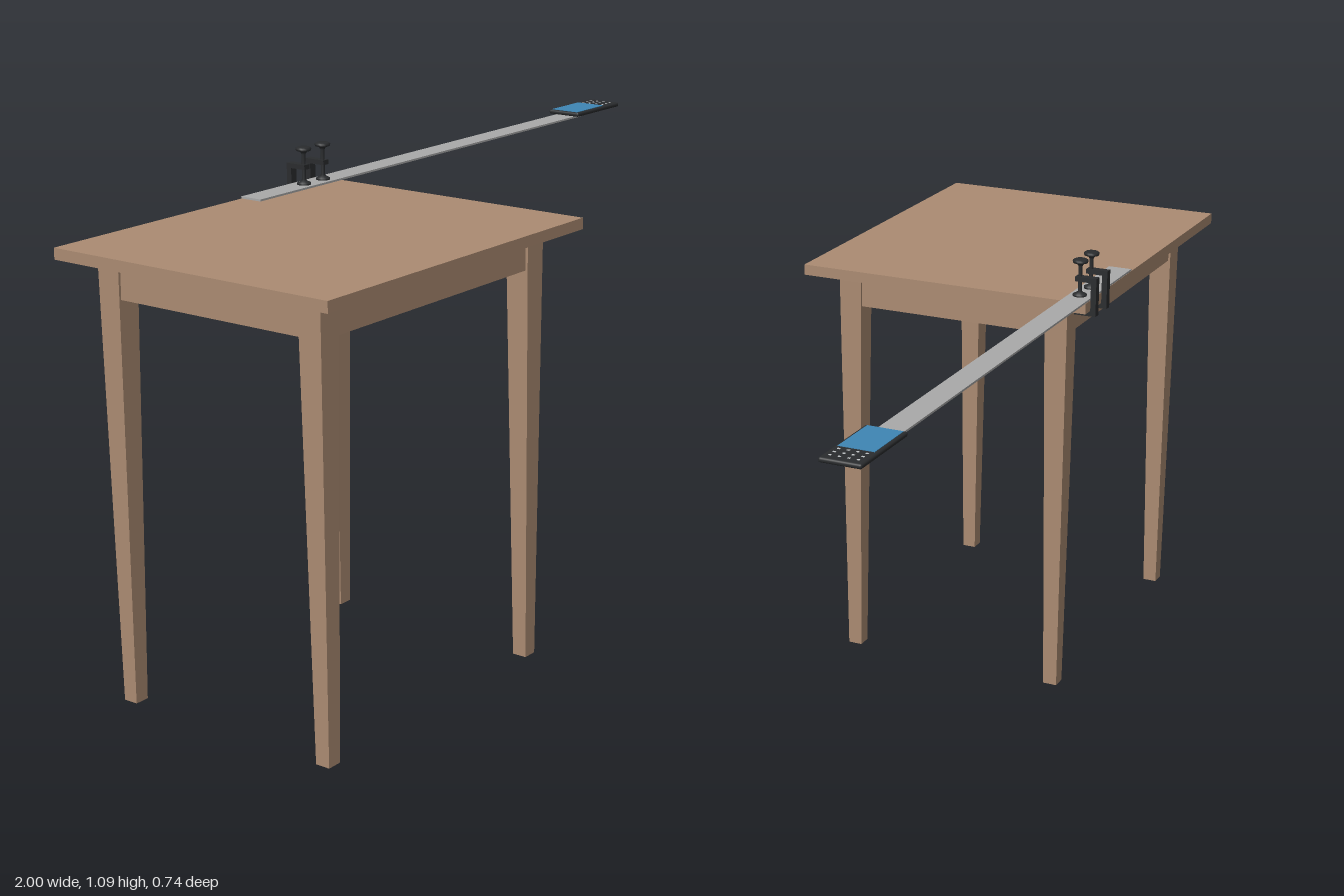
import * as THREE from 'three';
import { RoundedBoxGeometry } from 'three/addons/geometries/RoundedBoxGeometry.js';

const mat = (name, color) => Object.assign(new THREE.MeshStandardMaterial({ color }), { name });

export function createModel() {
  const wood = mat('wood', 0xab8b72);
  const steel = mat('steel', 0xa9a9a9);
  const black = mat('black metal', 0x2a2c2e);
  const blue = mat('blue screen', 0x3f86b4);
  const white = mat('key white', 0xc4c8ca);

  const root = new THREE.Group();
  root.name = 'tableWithRuler';

  const add = (parent, name, geometry, material, x = 0, y = 0, z = 0) => {
    const mesh = new THREE.Mesh(geometry, material);
    mesh.name = name;
    mesh.position.set(x, y, z);
    parent.add(mesh);
    return mesh;
  };
  // Box given by its limits on each axis
  const box = (parent, name, material, x0, x1, y0, y1, z0, z1) =>
    add(parent, name, new THREE.BoxGeometry(x1 - x0, y1 - y0, z1 - z0), material,
      (x0 + x1) / 2, (y0 + y1) / 2, (z0 + z1) / 2);

  // Table
  const table = new THREE.Group();
  table.name = 'table';
  root.add(table);
  box(table, 'tableTop', wood, -1, -0.145, 0.975, 1, -0.35, 0.367);

  // Frame is centred under the top; legs taper mostly on their inner faces
  const cx = -0.572, cz = 0.009, hx = 0.372, hz = 0.293;
  const legGeometry = (sx, sz) => {
    const g = new THREE.BoxGeometry(0.057, 0.975, 0.057);
    const p = g.attributes.position;
    for (let i = 0; i < p.count; i++) {
      if (p.getY(i) > 0) continue;
      p.setX(i, p.getX(i) * 0.6 + sx * 0.002);
      p.setZ(i, p.getZ(i) * 0.6 + sz * 0.002);
    }
    g.computeVertexNormals();
    return g;
  };
  for (const sx of [-1, 1]) {
    for (const sz of [-1, 1]) {
      add(table, 'leg', legGeometry(sx, sz), wood,
        cx + sx * (hx - 0.0285), 0.4875, cz + sz * (hz - 0.0285));
    }
  }

  // Aprons between the legs
  const inset = 0.006, thick = 0.022;
  for (const s of [-1, 1]) {
    const z = cz + s * (hz - inset - thick / 2);
    box(table, 'longApron', wood, cx - hx + 0.04, cx + hx - 0.04, 0.896, 0.975, z - thick / 2, z + thick / 2);
    const x = cx + s * (hx - inset - thick / 2);
    box(table, 'shortApron', wood, x - thick / 2, x + thick / 2, 0.896, 0.975, cz - hz + 0.04, cz + hz - 0.04);
  }

  // Curved corner braces inside the aprons
  const braceShape = new THREE.Shape();
  braceShape.moveTo(0, 0);
  braceShape.lineTo(0.13, 0);
  braceShape.lineTo(0.13, 0.006);
  braceShape.quadraticCurveTo(0.03, 0.03, 0.006, 0.13);
  braceShape.lineTo(0, 0.13);
  const braceGeometry = new THREE.ExtrudeGeometry(braceShape, { depth: 0.045, bevelEnabled: false, curveSegments: 10 });
  braceGeometry.rotateX(Math.PI / 2);
  const bx = hx - inset - thick, bz = hz - inset - thick;
  [[-1, -1, 0], [-1, 1, 1], [1, 1, 2], [1, -1, 3]].forEach(([sx, sz, turn]) => {
    const brace = add(table, 'cornerBrace', braceGeometry, black, cx + sx * bx, 0.96, cz + sz * bz);
    brace.rotation.y = turn * Math.PI / 2;
  });

  // Long flat ruler overhanging the table
  box(root, 'ruler', steel, -0.43, 0.84, 1.0005, 1.005, -0.35, -0.294);

  // Screw clamps holding the ruler down
  const frame = new THREE.Shape();
  [[0, 0.962], [0.052, 0.962], [0.052, 0.974], [0.013, 0.974], [0.013, 1.04],
    [0.052, 1.04], [0.052, 1.051], [0, 1.051]].forEach(([z, y], i) =>
    i ? frame.lineTo(z, y) : frame.moveTo(z, y));
  const frameGeometry = new THREE.ExtrudeGeometry(frame, { depth: 0.018, bevelEnabled: false });
  frameGeometry.translate(0, 0, -0.009);
  frameGeometry.rotateY(-Math.PI / 2);
  const screwProfile = [[0, 1.005], [0.016, 1.005], [0.016, 1.009], [0.008, 1.013], [0.0045, 1.016],
    [0.0045, 1.074], [0.008, 1.08], [0.017, 1.083], [0.018, 1.088], [0.014, 1.091], [0, 1.091]]
    .map(([r, y]) => new THREE.Vector2(r, y));
  const screwGeometry = new THREE.LatheGeometry(screwProfile, 16);
  for (const x of [-0.25, -0.183]) {
    const clamp = new THREE.Group();
    clamp.name = 'clamp';
    clamp.position.set(x, 0, -0.363);
    root.add(clamp);
    add(clamp, 'clampFrame', frameGeometry, black);
    add(clamp, 'clampScrew', screwGeometry, black, 0, 0, 0.043);
  }

  // Handheld device resting on the ruler's end
  const device = new THREE.Group();
  device.name = 'device';
  device.position.set(0.902, 1.011, -0.324);
  root.add(device);
  add(device, 'deviceBody', new RoundedBoxGeometry(0.196, 0.011, 0.092, 3, 0.005), black);
  box(device, 'screen', blue, -0.092, 0.03, 0.005, 0.0065, -0.039, 0.039);
  for (let row = 0; row < 3; row++) {
    for (let col = 0; col < 4; col++) {
      const x = 0.042 + row * 0.018, z = -0.03 + col * 0.02;
      box(device, 'key', white, x - 0.002, x + 0.002, 0.005, 0.0065, z - 0.003, z + 0.003);
    }
  }
  return root;
}
